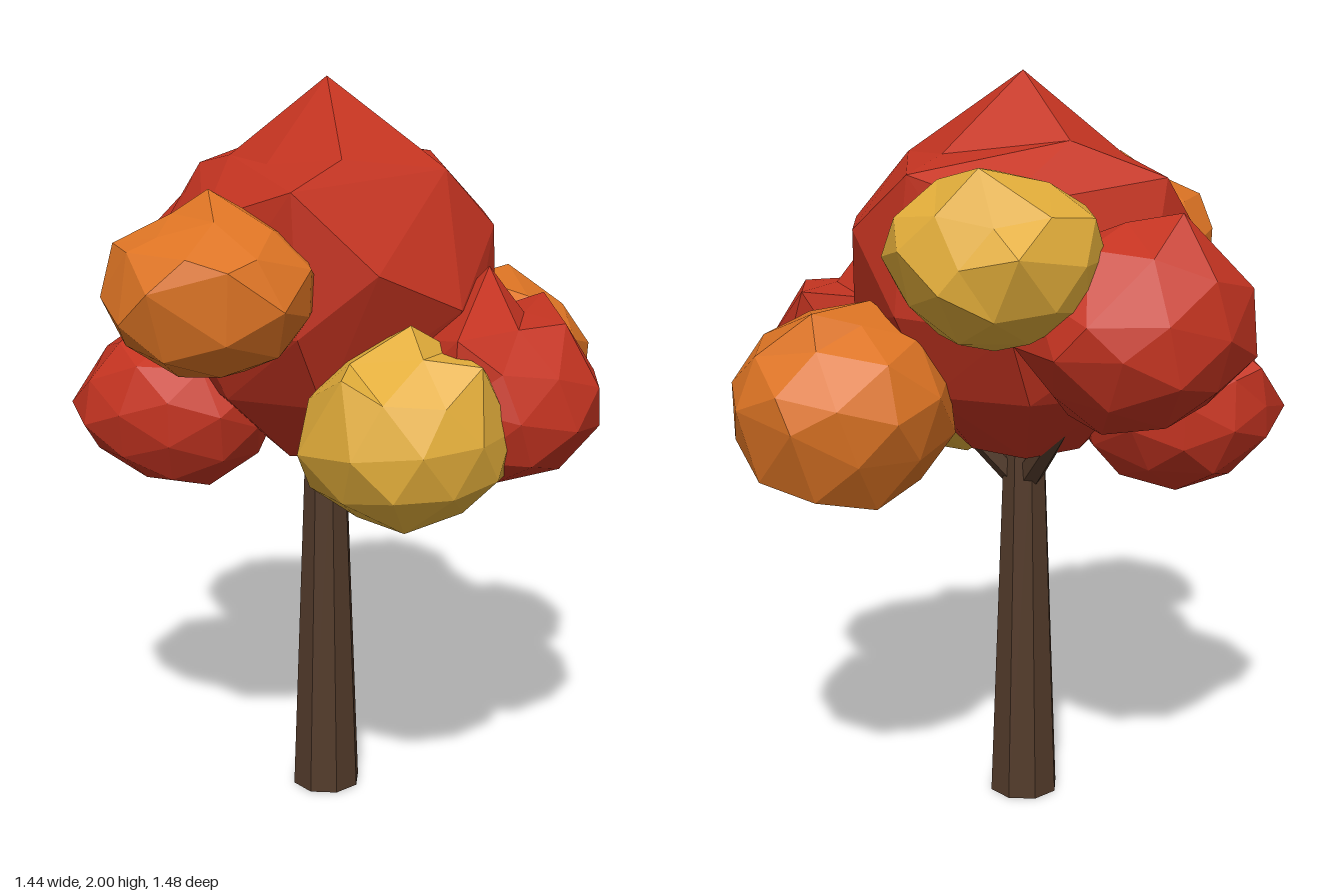
import * as THREE from 'three';
import { mergeVertices } from 'three/addons/utils/BufferGeometryUtils.js';
import { ConvexGeometry } from 'three/addons/geometries/ConvexGeometry.js';

const mat = (color) => new THREE.MeshStandardMaterial({ color, flatShading: true });
const V = (a) => new THREE.Vector3(...a);

// Small seeded random generator, 0..1
function seeded(seed) {
  let s = seed * 7919 + 13;
  return () => (s = (s * 16807) % 2147483647) / 2147483647;
}

// Faceted leaf clump: a jittered icosphere fitted to a box,
// with chosen corners then pulled to given points.
function clump(name, material, min, max, seed, turn, corners) {
  const geo = new THREE.IcosahedronGeometry(1, 1);
  geo.deleteAttribute('uv');
  geo.deleteAttribute('normal');
  const g = mergeVertices(geo, 1e-3);
  g.rotateX(turn);
  g.rotateY(turn * 1.7);
  const rand = seeded(seed);
  const pos = g.attributes.position;
  const p = new THREE.Vector3();
  for (let i = 0; i < pos.count; i++) {
    p.fromBufferAttribute(pos, i).multiplyScalar(0.94 + 0.12 * rand());
    pos.setXYZ(i, p.x, p.y, p.z);
  }
  // Fit to the box
  g.computeBoundingBox();
  const size = g.boundingBox.getSize(new THREE.Vector3());
  const mid = g.boundingBox.getCenter(new THREE.Vector3());
  const lo = V(min), hi = V(max);
  const centre = lo.clone().add(hi).multiplyScalar(0.5);
  const scale = hi.clone().sub(lo).divide(size);
  g.translate(-mid.x, -mid.y, -mid.z);
  g.scale(scale.x, scale.y, scale.z);
  // Pull the corner that lies closest in direction
  const used = new Set();
  for (const c of corners) {
    const target = V(c).sub(centre);
    let best = -1, bestAngle = Infinity;
    for (let i = 0; i < pos.count; i++) {
      const a = p.fromBufferAttribute(pos, i).angleTo(target);
      if (!used.has(i) && a < bestAngle) [best, bestAngle] = [i, a];
    }
    used.add(best);
    pos.setXYZ(best, target.x, target.y, target.z);
  }
  g.computeVertexNormals();
  const mesh = new THREE.Mesh(g, material);
  mesh.name = name;
  mesh.position.copy(centre);
  return mesh;
}

// Faceted solid spanned by a few corner points
function hull(name, material, points) {
  const mesh = new THREE.Mesh(new ConvexGeometry(points.map(V)), material);
  mesh.name = name;
  return mesh;
}

// Tapered limb between two points
function limb(name, material, from, to, r0, r1, sides) {
  const a = V(from), b = V(to), dir = b.clone().sub(a);
  const mesh = new THREE.Mesh(new THREE.CylinderGeometry(r1, r0, dir.length(), sides), material);
  mesh.name = name;
  mesh.position.copy(a).add(b).multiplyScalar(0.5);
  mesh.quaternion.setFromUnitVectors(new THREE.Vector3(0, 1, 0), dir.normalize());
  return mesh;
}

export function createModel() {
  const tree = new THREE.Group();
  tree.name = 'autumnTree';
  const bark = mat(0x523a2a), red = mat(0xc53421), orange = mat(0xdd7424), yellow = mat(0xe2ad3a);

  // Trunk and branches
  tree.add(limb('trunk', bark, [-0.043, 0, -0.015], [-0.043, 1.02, -0.015], 0.097, 0.058, 8));
  const tips = [[0.15, 1.13, -0.12], [-0.28, 1.2, -0.18], [-0.06, 1.15, 0.08]];
  for (const t of tips) tree.add(limb('branch', bark, [-0.043, 0.9, -0.015], t, 0.038, 0.024, 6));

  // Large central crown: peak, shoulders, waist, then rounded underside
  const collar = [
    [0.3, 1.78, -0.02], [-0.3, 1.79, 0.04], [-0.24, 1.84, -0.17],
    [0.08, 1.8, -0.24], [0.13, 1.82, 0.23], [-0.12, 1.77, 0.19],
  ];
  const body = [
    ...collar,
    [0.09, 1.76, 0.42], [-0.46, 1.75, -0.07], [0.06, 1.77, -0.46], [-0.17, 1.7, -0.43],
    [0.37, 1.62, -0.18], [0.25, 1.62, -0.4], [-0.18, 1.67, 0.38], [0.28, 1.56, 0.33],
    [-0.53, 1.5, 0.12], [-0.41, 1.5, 0.3], [0.41, 1.45, 0.12], [0.4, 1.43, -0.02],
    [0.1, 1.4, 0.41], [-0.2, 1.38, 0.39], [0.37, 1.35, -0.2], [0.1, 1.42, -0.46],
    [-0.2, 1.4, -0.43], [-0.46, 1.4, -0.2],
  ];
  for (const [r, y, n] of [[0.35, 1.2, 8], [0.15, 1.01, 5]]) {
    for (let i = 0; i < n; i++) {
      const a = ((i + 0.4) / n) * Math.PI * 2;
      body.push([-0.05 + r * Math.cos(a), y, -0.02 + r * Math.sin(a)]);
    }
  }
  tree.add(hull('crown', red, body), hull('crownPeak', red, [[-0.04, 2, -0.02], ...collar]));

  // Clumps around the crown
  tree.add(
    clump('frontClump', orange, [-0.38, 1.31, 0.2], [0.15, 1.71, 0.71], 5, 0.4,
      [[-0.12, 1.55, 0.735], [-0.12, 1.76, 0.45], [-0.22, 1.63, 0.66], [0.05, 1.6, 0.65]]),
    clump('frontLeftClump', yellow, [0.03, 0.9, -0.03], [0.57, 1.38, 0.51], 7, 0.9,
      [[0.33, 1.43, 0.25], [0.53, 1.35, 0.27], [0.25, 1.33, 0.47]]),
    clump('leftClump', red, [0.17, 0.98, -0.31], [0.72, 1.42, 0.25], 11, 1.3,
      [[0.42, 1.54, -0.03], [0.45, 1.4, 0.24], [0.47, 1.43, -0.3], [0.63, 1.41, -0.03]]),
    clump('backLeftClump', orange, [-0.03, 0.93, -0.73], [0.54, 1.44, -0.18], 13, 0.6,
      [[0.23, 1.17, -0.74], [0.25, 1.44, -0.6], [0.42, 1.2, -0.69], [0.55, 1.2, -0.35]]),
    clump('backClump', yellow, [-0.43, 1.36, -0.69], [0.09, 1.79, -0.2], 17, 2.1,
      [[-0.34, 1.62, -0.67], [-0.03, 1.62, -0.67], [-0.2, 1.81, -0.59], [-0.15, 1.53, -0.7]]),
    clump('backRightClump', red, [-0.72, 1.15, -0.52], [-0.16, 1.66, 0.08], 19, 1.7,
      [[-0.57, 1.69, -0.25], [-0.44, 1.45, -0.52], [-0.61, 1.45, -0.43]]),
    clump('frontRightClump', red, [-0.68, 0.9, -0.09], [-0.14, 1.33, 0.4], 23, 0.25,
      [[-0.5, 1.36, 0.12], [-0.66, 1.25, 0.12], [-0.67, 1.06, 0.15], [-0.3, 1.28, 0.2]]),
  );
  return tree;
}
